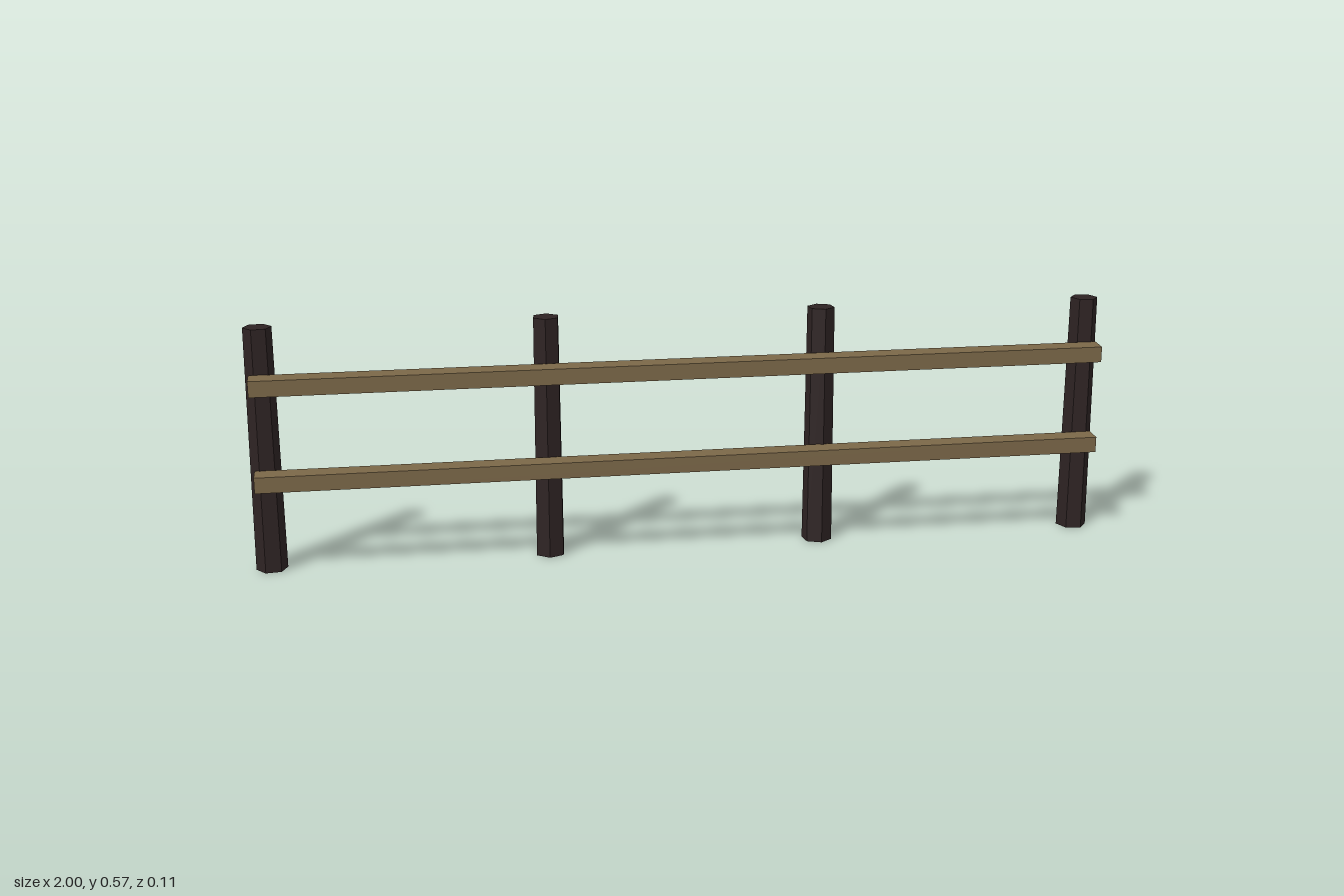
import * as THREE from 'three';

export function createModel() {
  const group = new THREE.Group();
  const darkWood = new THREE.MeshStandardMaterial({ color: 0x2e2323, flatShading: true });
  darkWood.name = 'darkWood';
  const railWood = new THREE.MeshStandardMaterial({ color: 0x7a6748, flatShading: true });
  railWood.name = 'railWood';

  // Four tapered six-sided posts, each turned a little more than the last
  const height = 0.57;
  for (let i = 0; i < 4; i++) {
    const t = (i - 1.5) / 1.5;
    const geometry = new THREE.CylinderGeometry(0.032, 0.036, height, 6);
    const post = new THREE.Mesh(geometry, darkWood);
    post.name = 'post' + (i + 1);
    post.position.set(t * 0.9643, height / 2, -0.018);
    post.rotation.y = THREE.MathUtils.degToRad(22 * t);
    group.add(post);
  }

  // Two rails, slightly taller at the back than at the front
  const length = 1.976;
  const section = new THREE.Shape([
    new THREE.Vector2(-0.055, -0.0185),
    new THREE.Vector2(-0.012, -0.0215),
    new THREE.Vector2(-0.012, 0.0215),
    new THREE.Vector2(-0.055, 0.0185),
  ]);
  const railGeometry = new THREE.ExtrudeGeometry(section, { depth: length, bevelEnabled: false });
  railGeometry.translate(0, 0, -length / 2);
  railGeometry.rotateY(Math.PI / 2);
  [['lowerRail', 0.223], ['upperRail', 0.4455]].forEach(([name, y]) => {
    const rail = new THREE.Mesh(railGeometry, railWood);
    rail.name = name;
    rail.position.y = y;
    group.add(rail);
  });

  return group;
}
